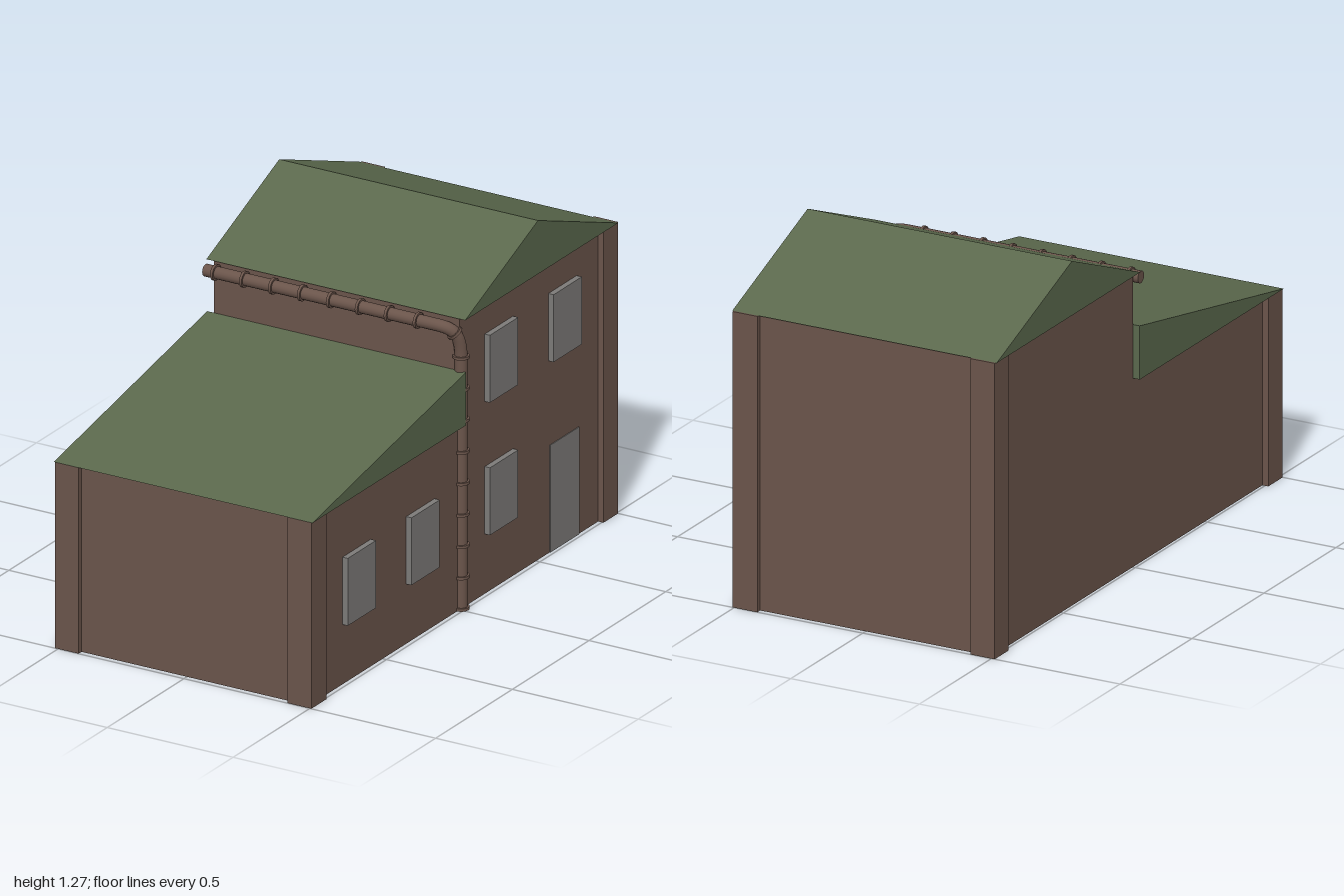
import * as THREE from 'three';

export function createModel() {
  const model = new THREE.Group();
  const mat = (name, color, extra = {}) => {
    const m = new THREE.MeshStandardMaterial({ color, ...extra });
    m.name = name;
    return m;
  };
  const brick = mat('brick brown', 0x6b554b);
  const tile = mat('roof green', 0x5b694d);
  const pane = mat('window grey', 0x7d7b79);

  const add = (name, geometry, material, parent = model) => {
    const mesh = new THREE.Mesh(geometry, material);
    mesh.name = name;
    parent.add(mesh);
    return mesh;
  };
  // Box given by its limits
  const box = (name, material, x0, x1, y0, y1, z0, z1) =>
    add(name, new THREE.BoxGeometry(x1 - x0, y1 - y0, z1 - z0), material)
      .position.set((x0 + x1) / 2, (y0 + y1) / 2, (z0 + z1) / 2);
  // Side profile of [z, y] points, extruded from x0 to x1
  const prism = (name, material, points, x0, x1) => {
    const shape = new THREE.Shape(points.map(([z, y]) => new THREE.Vector2(z, y)));
    const geometry = new THREE.ExtrudeGeometry(shape, { depth: x1 - x0, bevelEnabled: false });
    geometry.rotateY(-Math.PI / 2).translate(x1, 0, 0);
    add(name, geometry, material);
  };

  // Stepped body: low front wing and two-storey rear block
  prism('walls', brick, [
    [0.98, 0], [0.98, 0.686], [0, 0.686], [0, 1.074], [-0.98, 1.074], [-0.98, 0],
  ], -0.49, 0.485);

  // Lean-to roof and gabled roof
  prism('frontRoof', tile, [[1, 0.685], [0, 0.88], [0, 0.685]], -0.517, 0.511);
  prism('rearRoof', tile, [[0.005, 1.073], [-0.47, 1.27], [-0.993, 1.073]], -0.517, 0.511);

  // Corner pillars
  for (const [x0, x1] of [[-0.513, -0.419], [0.41, 0.506]]) {
    box('frontPillar', brick, x0, x1, 0, 0.685, 0.9, 0.999);
    box('rearPillar', brick, x0, x1, 0, 1.073, -1, -0.905);
  }

  // Windows on the left wall: [centre z, bottom y]
  for (const [z, y] of [[0.67, 0.22], [0.255, 0.22], [-0.257, 0.22], [-0.257, 0.708], [-0.672, 0.708]]) {
    box('window', pane, 0.475, 0.506, y, y + 0.248, z - 0.092, z + 0.092);
  }
  box('door', pane, 0.48, 0.488, 0, 0.395, -0.777, -0.588);

  // Gutter running along the eave and bending into the downpipe
  const drain = new THREE.Group();
  drain.name = 'drainpipe';
  model.add(drain);
  const V = (x, y, z) => new THREE.Vector3(x, y, z);
  const start = V(-0.505, 1.045, 0.03), bendStart = V(0.41, 1.045, 0.03);
  const bendEnd = V(0.485, 0.93, -0.011), foot = V(0.485, 0, -0.011);
  const bend = new THREE.CubicBezierCurve3(bendStart, V(0.475, 1.045, 0.03), V(0.485, 1.02, -0.008), bendEnd);
  const r = 0.022;
  const pipe = (name, curve, steps) => add(name, new THREE.TubeGeometry(curve, steps, r, 16), brick, drain);
  pipe('gutter', new THREE.LineCurve3(start, bendStart), 1);
  pipe('elbow', bend, 12);
  pipe('downpipe', new THREE.LineCurve3(bendEnd, foot), 1);
  add('gutterCap', new THREE.CircleGeometry(r, 16).rotateY(-Math.PI / 2), brick, drain).position.copy(start);

  // Clamping rings, each aligned with the pipe direction
  const ringGeometry = new THREE.CylinderGeometry(0.029, 0.029, 0.01, 16);
  const ring = (position, direction) => {
    const mesh = add('ring', ringGeometry, brick, drain);
    mesh.position.copy(position);
    mesh.quaternion.setFromUnitVectors(V(0, 1, 0), direction);
  };
  for (let i = 0; i < 8; i++) ring(V(-0.465 + i * 0.115, 1.045, 0.03), V(1, 0, 0));
  for (let i = 0; i < 9; i++) ring(V(0.485, 0.006 + i * 0.1155, -0.011), V(0, 1, 0));
  ring(bend.getPoint(0.5), bend.getTangent(0.5));

  return model;
}
